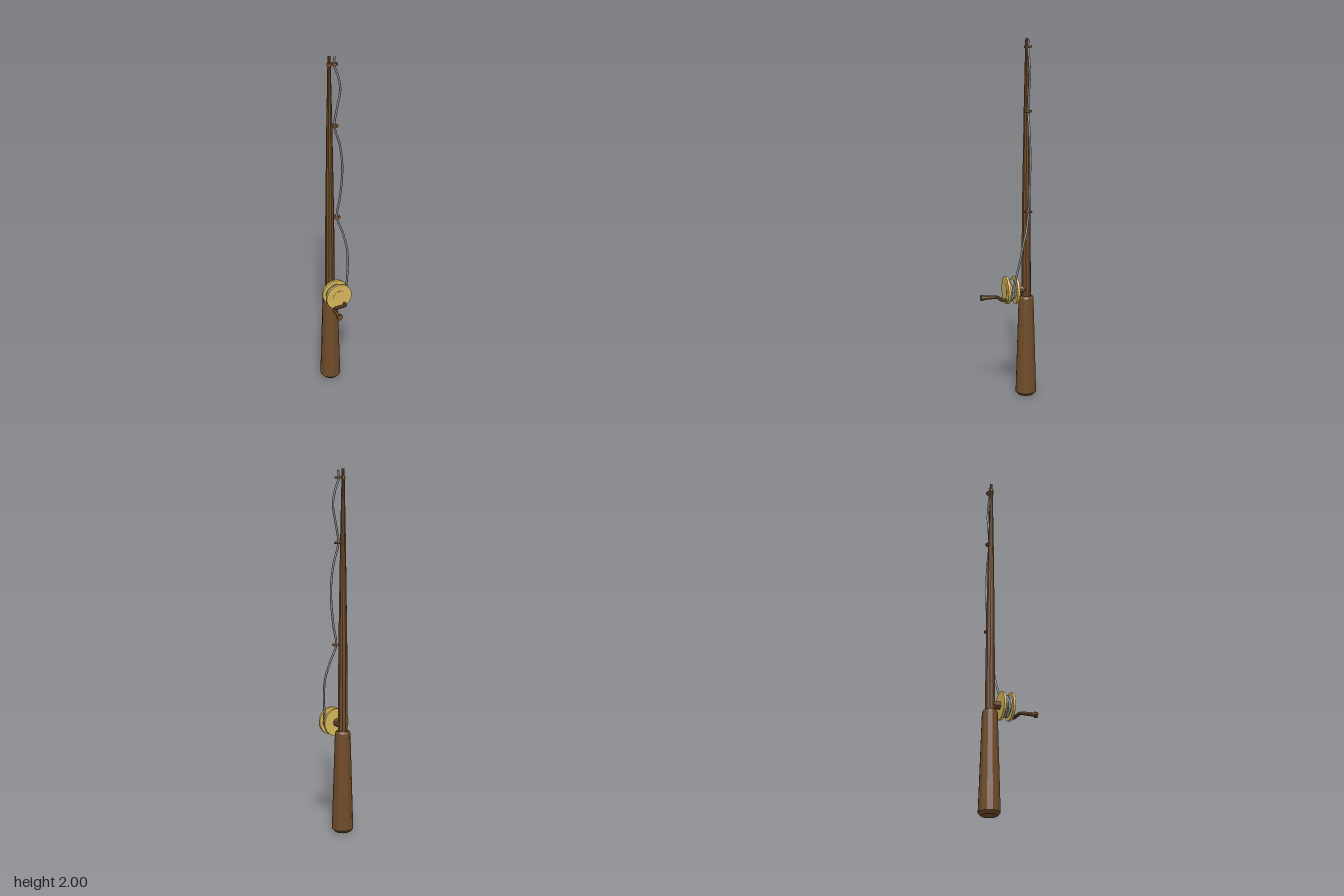
import * as THREE from 'three';

const mat = (color) => new THREE.MeshStandardMaterial({ color, flatShading: true });
const V = (x, y, z) => new THREE.Vector3(x, y, z);

export function createModel() {
  const model = new THREE.Group();
  const wood = mat(0x6f4b29), gold = mat(0xd8b85c), bronze = mat(0xa06c35);
  const lineMat = new THREE.MeshStandardMaterial({ color: 0x98999c });
  const X = -0.008, Z = -0.096; // rod axis
  const RX = -0.006, RY = 0.615; // reel axis

  const add = (name, geo, material, x = 0, y = 0, z = 0, parent = model) => {
    const mesh = new THREE.Mesh(geo, material);
    mesh.name = name;
    mesh.position.set(x, y, z);
    parent.add(mesh);
    return mesh;
  };
  // Cylinder lying along z between two depths
  const zCylinder = (r, z0, z1, sides) =>
    new THREE.CylinderGeometry(r, r, z1 - z0, sides).rotateX(Math.PI / 2).translate(0, 0, (z0 + z1) / 2);
  const lathe = (pts, sides) => new THREE.LatheGeometry(pts.map(([r, y]) => new THREE.Vector2(r, y)), sides);

  // Grip and tapered rod
  add('grip', lathe([[0, 0.005], [0.045, 0.005], [0.06, 0.022], [0.058, 0.08], [0.043, 0.565], [0.036, 0.578], [0, 0.578]], 12), wood, X, 0, Z);
  add('rod', lathe([[0, 0.57], [0.028, 0.57], [0.025, 1.06], [0.0165, 1.6], [0.008, 2], [0, 2]], 10), wood, X, 0, Z);

  // Reel: stem, hub and two flanges
  const reel = new THREE.Group();
  reel.name = 'reel';
  reel.position.set(RX, RY, 0);
  model.add(reel);
  add('reelStem', zCylinder(0.023, Z, -0.038, 10), wood, 0, 0, 0, reel);
  add('reelHub', zCylinder(0.05, -0.03, 0.02, 16), gold, 0, 0, 0, reel);
  for (const [z0, z1] of [[-0.04, -0.026], [0.012, 0.026]])
    add('reelFlange', zCylinder(0.078, z0, z1, 18), gold, 0, 0, 0, reel);
  add('reelCap', zCylinder(0.039, 0.02, 0.0275, 16), gold, 0, 0, 0, reel);

  // Crank arm with rounded bends, then knob
  const CY = 0.566;
  const crank = new THREE.CurvePath();
  crank.add(new THREE.LineCurve3(V(0.025, CY, 0.02), V(0.025, CY, 0.036)));
  crank.add(new THREE.QuadraticBezierCurve3(V(0.025, CY, 0.036), V(0.025, CY, 0.053), V(0.008, CY, 0.053)));
  crank.add(new THREE.LineCurve3(V(0.008, CY, 0.053), V(-0.036, CY, 0.054)));
  crank.add(new THREE.QuadraticBezierCurve3(V(-0.036, CY, 0.054), V(-0.061, CY, 0.054), V(-0.061, CY, 0.08)));
  add('crankArm', new THREE.TubeGeometry(crank, 24, 0.0095, 8), wood);
  add('crankHandle', new THREE.CylinderGeometry(0.0125, 0.0105, 0.068, 8).rotateX(Math.PI / 2), wood, -0.061, CY, 0.108);
  add('crankKnob', zCylinder(0.018, 0.139, 0.153, 8), wood, -0.061, CY, 0);

  // Line guides along the rod
  for (const [x, y] of [[0.034, 1.06], [0.022, 1.61], [0.02, 1.955]])
    add('lineGuide', new THREE.TorusGeometry(0.018, 0.006, 6, 8).rotateX(Math.PI / 2), bronze, x, y, Z);
  add('tipBand', new THREE.CylinderGeometry(0.014, 0.014, 0.012, 8), bronze, X, 1.955, Z);

  // Line wound on the spool in uneven turns
  const coil = [];
  const turns = 3, steps = 48;
  for (let i = 0; i <= steps; i++) {
    const t = i / steps, a = t * turns * Math.PI * 2;
    coil.push(V(RX + 0.057 * Math.cos(a), RY + 0.057 * Math.sin(a),
      -0.016 + 0.02 * t + 0.006 * Math.sin(a * 1.35)));
  }
  add('woundLine', new THREE.TubeGeometry(new THREE.CatmullRomCurve3(coil), 160, 0.0065, 6), lineMat);

  // Slack line running up through the guides
  const path = [
    [0.051, 0.615, -0.006], [0.06, 0.68, -0.015], [0.075, 0.78, -0.034], [0.078, 0.87, -0.052],
    [0.064, 0.96, -0.077], [0.036, 1.06, Z], [0.052, 1.16, Z], [0.066, 1.28, Z], [0.068, 1.38, Z],
    [0.052, 1.5, Z], [0.022, 1.61, Z], [0.038, 1.71, Z], [0.056, 1.81, Z], [0.045, 1.88, Z],
    [0.02, 1.955, Z], [0.024, 1.995, Z],
  ].map((p) => V(...p));
  add('line', new THREE.TubeGeometry(new THREE.CatmullRomCurve3(path), 110, 0.006, 6), lineMat);

  return model;
}
